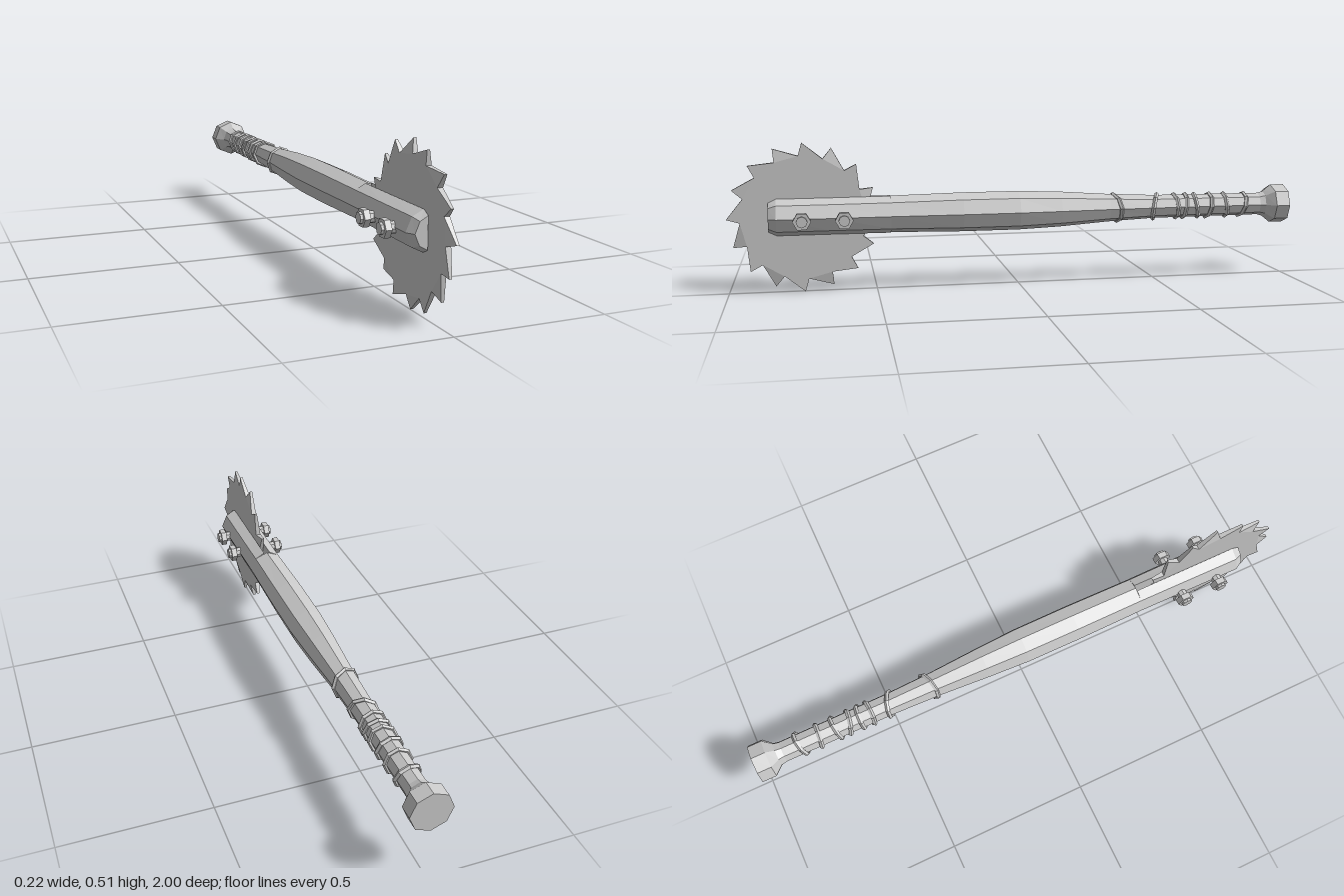
import * as THREE from 'three';

const AXIS_Y = 0.26;
const GAP = 0.011; // half width of the slot that holds the blade

const material = new THREE.MeshStandardMaterial({ color: 0xcccccc, flatShading: true });

function addMesh(parent, geometry, name) {
  const mesh = new THREE.Mesh(geometry, material);
  mesh.name = name;
  parent.add(mesh);
  return mesh;
}

// Closed loft through convex rings, counter-clockwise seen from +z, ordered towards +z
function loft(rings) {
  const n = rings[0].length;
  const index = [];
  for (let i = 0; i < rings.length - 1; i++) {
    for (let j = 0; j < n; j++) {
      const a = i * n + j, b = i * n + (j + 1) % n;
      index.push(a, b, b + n, a, b + n, a + n);
    }
  }
  const last = (rings.length - 1) * n;
  for (let j = 1; j < n - 1; j++) {
    index.push(0, j + 1, j, last, last + j, last + j + 1);
  }
  const geometry = new THREE.BufferGeometry();
  geometry.setAttribute('position', new THREE.Float32BufferAttribute(rings.flat(2), 3));
  geometry.setIndex(index);
  const flat = geometry.toNonIndexed();
  flat.computeVertexNormals();
  return flat;
}

// Eight-sided section: [z, half width, half height]
function fullRing([z, rx, ry]) {
  return Array.from({ length: 8 }, (_, k) => {
    const a = k * Math.PI / 4;
    return [rx * Math.cos(a), AXIS_Y + ry * Math.sin(a), z];
  });
}

// One side of the same section, cut off at the slot
function halfRing([z, rx, ry], side) {
  return Array.from({ length: 5 }, (_, k) => {
    const a = k * Math.PI / 4 - side * Math.PI / 2;
    const x = k % 4 === 0 ? side * GAP : rx * Math.cos(a);
    return [x, AXIS_Y + ry * Math.sin(a), z];
  });
}

function sawBladeGeometry() {
  const teeth = 16, tip = 0.256, root = 0.212, thickness = 0.018;
  const step = Math.PI * 2 / teeth;
  const points = [];
  for (let k = 0; k < teeth; k++) {
    for (const [a, r] of [[k * step, tip], [(k + 0.84) * step, root]]) {
      points.push(new THREE.Vector2(-r * Math.sin(a), r * Math.cos(a)));
    }
  }
  const geometry = new THREE.ExtrudeGeometry(new THREE.Shape(points), {
    depth: thickness, bevelEnabled: false,
  });
  geometry.translate(0, 0, -thickness / 2);
  // Grind the tips thinner, alternately to either side
  const p = geometry.attributes.position;
  for (let i = 0; i < p.count; i++) {
    if (Math.hypot(p.getX(i), p.getY(i)) < 0.24) continue;
    const k = Math.round(Math.atan2(-p.getX(i), p.getY(i)) / step + teeth) % 2;
    p.setZ(i, p.getZ(i) * 0.5 + (k ? 1 : -1) * thickness / 4);
  }
  geometry.rotateY(-Math.PI / 2);
  geometry.computeVertexNormals();
  return geometry;
}

export function createModel() {
  const model = new THREE.Group();
  model.name = 'sawBladeClub';

  // Knob, grip and barrel up to the slot
  const body = [
    [-1, 0.07, 0.07], [-0.95, 0.07, 0.07], [-0.92, 0.042, 0.046], [-0.9, 0.038, 0.04],
    [-0.5, 0.04, 0.042], [-0.33, 0.046, 0.05], [-0.15, 0.058, 0.063],
    [0, 0.066, 0.069], [0.2, 0.067, 0.069], [0.45, 0.064, 0.064],
  ];
  addMesh(model, loft(body.map(fullRing)), 'clubBody');

  // Two cheeks either side of the blade
  const cheek = [[0.45, 0.064, 0.064], [0.65, 0.066, 0.063], [0.835, 0.068, 0.063], [0.862, 0.052, 0.05]];
  for (const side of [1, -1]) {
    addMesh(model, loft(cheek.map((s) => halfRing(s, side))), side > 0 ? 'leftCheek' : 'rightCheek');
  }

  // Circular saw blade
  const blade = addMesh(model, sawBladeGeometry(), 'sawBlade');
  blade.position.set(0, 0.256, 0.745);

  // Bolts with a hexagonal nut on each side
  for (const z of [0.75, 0.61]) {
    const bolt = new THREE.Group();
    bolt.name = 'bolt';
    bolt.position.set(0, 0.256, z);
    model.add(bolt);
    const shank = addMesh(bolt, new THREE.CylinderGeometry(0.019, 0.019, 0.218, 8), 'boltShank');
    shank.rotation.z = Math.PI / 2;
    for (const side of [1, -1]) {
      const nut = addMesh(bolt, new THREE.CylinderGeometry(0.031, 0.031, 0.02, 6), 'nut');
      nut.rotation.z = Math.PI / 2;
      nut.position.x = side * 0.09;
    }
  }

  // Cord wrapped round the grip: [z, radius, yaw, pitch]
  const cords = [
    [-0.355, 0.049, 0.3, 0.15], [-0.505, 0.045, -0.35, -0.15], [-0.58, 0.043, 0.05, 0.1],
    [-0.615, 0.043, -0.05, -0.1], [-0.66, 0.043, -0.15, 0.2], [-0.705, 0.043, 0.1, -0.15],
    [-0.77, 0.042, -0.05, 0.1], [-0.835, 0.042, 0.12, -0.25],
  ];
  for (const [z, radius, yaw, pitch] of cords) {
    const cord = addMesh(model, new THREE.TorusGeometry(radius, 0.008, 5, 8), 'gripCord');
    cord.position.set(0, AXIS_Y, z);
    cord.rotation.set(pitch, yaw, 0);
  }
  return model;
}
